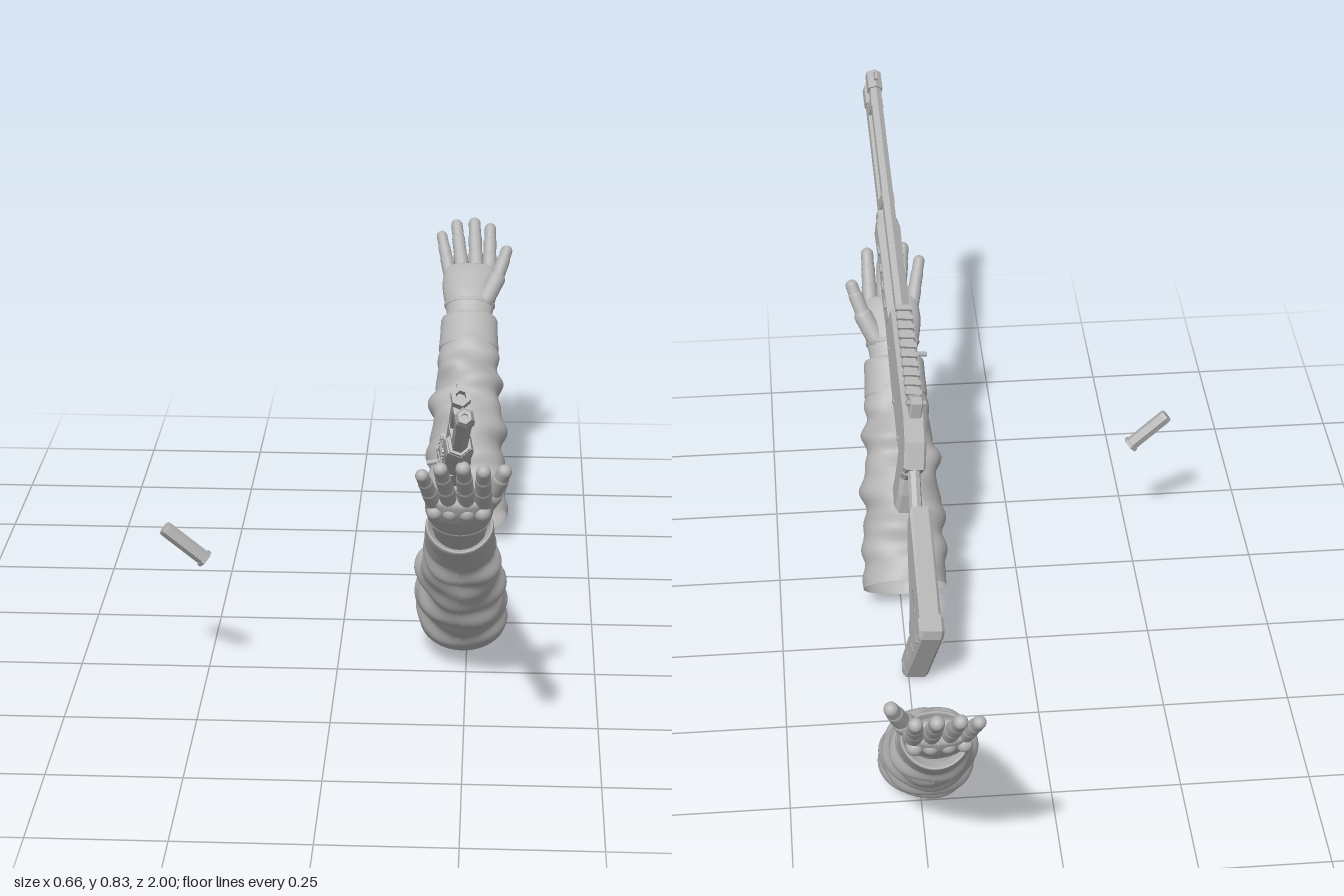
import * as THREE from 'three';

const grey = new THREE.MeshStandardMaterial({ color: 0xb3b3b3, side: THREE.DoubleSide });
grey.name = 'plain grey';

function add(group, name, geometry, x = 0, y = 0, z = 0) {
  const mesh = new THREE.Mesh(geometry, grey);
  mesh.name = name;
  mesh.position.set(x, y, z);
  group.add(mesh);
  return mesh;
}

function flat(geometry) {
  const g = geometry.index ? geometry.toNonIndexed() : geometry;
  g.computeVertexNormals();
  return g;
}

// Faceted turned part along z; profile is [radius, z] pairs from back to front
function turned(profile, sides = 6) {
  const points = profile.map(([r, z]) => new THREE.Vector2(r, z));
  return flat(new THREE.LatheGeometry(points, sides).rotateX(Math.PI / 2));
}

// Side outline in [z, y], extruded across the width
function plate(outline, width, bevel = 0.004, hole = null) {
  const toPoints = list => list.map(([z, y]) => new THREE.Vector2(z, y));
  const shape = new THREE.Shape(toPoints(outline));
  if (hole) shape.holes.push(new THREE.Path(toPoints(hole)));
  const depth = width - 2 * bevel;
  return new THREE.ExtrudeGeometry(shape, {
    depth, bevelEnabled: bevel > 0, bevelSize: bevel, bevelOffset: -bevel,
    bevelThickness: bevel, bevelSegments: 1,
  }).translate(0, 0, -depth / 2).rotateY(-Math.PI / 2);
}

// Smooth skin through sections [z, centreX, centreY, radiusX, radiusY]
function loft(sections, rows, fold = () => 0, sides = 40) {
  const centre = new THREE.CatmullRomCurve3(sections.map(s => new THREE.Vector3(s[1], s[2], s[0])));
  const radii = new THREE.CatmullRomCurve3(sections.map(s => new THREE.Vector3(s[3], s[4], 0)));
  const g = new THREE.CylinderGeometry(1, 1, 1, sides, rows, true).rotateX(Math.PI / 2);
  const p = g.attributes.position;
  for (let i = 0; i < p.count; i++) {
    const t = THREE.MathUtils.clamp(p.getZ(i) + 0.5, 0, 1);
    const c = centre.getPoint(t), r = radii.getPoint(t);
    const angle = Math.atan2(p.getY(i), p.getX(i));
    const f = fold(angle, t);
    p.setXYZ(i, c.x + Math.cos(angle) * (Math.max(r.x, 0) + f), c.y + Math.sin(angle) * (Math.max(r.y, 0) + f), c.z);
  }
  g.computeVertexNormals();
  return g;
}

// Rounded finger bone between two points
function bone(group, name, a, b, r) {
  const from = new THREE.Vector3(...a), to = new THREE.Vector3(...b);
  const dir = to.clone().sub(from);
  const mesh = add(group, name, new THREE.CapsuleGeometry(r, dir.length(), 5, 14));
  mesh.position.copy(from).add(to).multiplyScalar(0.5);
  mesh.quaternion.setFromUnitVectors(new THREE.Vector3(0, 1, 0), dir.normalize());
}

// Arm along local z, palm towards local +y
function buildArm() {
  const arm = new THREE.Group();
  const folds = (a, t) => {
    const fade = Math.min(1, t * 8) * Math.min(1, (1 - t) * 6);
    return fade * (0.0045 * Math.sin(26 * t + 2 * Math.sin(a + 1))
      + 0.0035 * Math.sin(43 * t + 2 * a + Math.sin(3 * t))
      + 0.003 * Math.sin(17 * t - 3 * a));
  };
  add(arm, 'sleeve', loft([
    [0, 0.005, 0, 0.086, 0.07], [0.09, 0.002, 0.003, 0.085, 0.077], [0.18, 0, 0, 0.081, 0.076],
    [0.27, -0.001, 0, 0.076, 0.069], [0.35, 0, 0, 0.069, 0.061], [0.43, 0, 0, 0.062, 0.053],
  ], 70, folds, 48));
  add(arm, 'sleeveCuff', loft([
    [0.405, 0, 0, 0.06, 0.05], [0.41, 0, 0, 0.066, 0.056], [0.445, 0, 0, 0.064, 0.054],
    [0.48, 0, 0, 0.063, 0.053], [0.487, 0, 0, 0.06, 0.05], [0.47, 0, 0, 0.05, 0.038],
  ], 24, a => 0.0015 * Math.sin(3 * a)));
  add(arm, 'gloveHand', loft([
    [0.45, 0, 0, 0.046, 0.032], [0.5, 0, 0, 0.05, 0.033], [0.53, 0, 0, 0.055, 0.035],
    [0.555, 0, 0, 0.06, 0.035], [0.58, 0, 0, 0.062, 0.033], [0.605, 0, 0.001, 0.06, 0.029],
    [0.625, 0, 0.002, 0.054, 0.021], [0.634, 0, 0.002, 0, 0],
  ], 32));
  add(arm, 'gloveStrap', new THREE.TorusGeometry(1, 0.1, 8, 40).scale(0.052, 0.033, 0.06), 0, 0, 0.527);

  // Four fingers: base x, tip x, tip z, radius
  [[-0.044, -0.066, 0.703, 0.0135], [-0.016, -0.033, 0.733, 0.0145],
    [0.014, 0.007, 0.738, 0.015], [0.042, 0.043, 0.724, 0.0145]].forEach(([bx, tx, tz, r]) => {
    const at = k => [bx + (tx - bx) * k, -0.004 + 0.004 * Math.sin(k * 3) + 0.013 * k * k, 0.6 + (tz - 0.6) * k];
    bone(arm, 'fingerBase', at(0), at(0.42), r * 1.1);
    bone(arm, 'fingerMiddle', at(0.42), at(0.74), r);
    bone(arm, 'fingerTip', at(0.74), at(1), r * 0.9);
    const knuckle = add(arm, 'knuckle', new THREE.SphereGeometry(r * 1.1, 14, 10), ...at(0));
    knuckle.position.y -= 0.014;
  });
  bone(arm, 'thumbBase', [0.035, 0.012, 0.535], [0.058, 0.025, 0.58], 0.02);
  bone(arm, 'thumbMiddle', [0.058, 0.025, 0.58], [0.073, 0.038, 0.622], 0.0155);
  bone(arm, 'thumbTip', [0.073, 0.038, 0.622], [0.08, 0.045, 0.643], 0.0135);

  arm.quaternion.setFromRotationMatrix(new THREE.Matrix4().makeBasis(
    new THREE.Vector3(1, 0, 0), new THREE.Vector3(0, 0.737, -0.676), new THREE.Vector3(0, 0.676, 0.737)));
  arm.position.set(0.237, 0.072, 0.118);
  return arm;
}

// Shotgun along local z, muzzle at +z
function buildShotgun() {
  const gun = new THREE.Group();
  add(gun, 'barrel', turned([[0.0135, 0.1], [0.0135, 0.735], [0.0175, 0.735], [0.0175, 0.779],
    [0.009, 0.779], [0.009, 0.745], [0, 0.745]]), 0, 0.022, 0);
  add(gun, 'magazineTube', turned([[0.015, 0.1], [0.015, 0.72], [0.018, 0.72], [0.018, 0.765],
    [0.012, 0.777], [0.006, 0.777], [0.006, 0.765], [0, 0.765]]), 0, -0.013, 0);
  add(gun, 'frontSight', new THREE.BoxGeometry(0.006, 0.012, 0.02), 0, 0.04, 0.76);
  [0.45, 0.7].forEach(z => add(gun, 'barrelClamp', new THREE.BoxGeometry(0.026, 0.05, 0.025), 0, 0.004, z));
  add(gun, 'foreEnd', turned([[0, 0.16], [0.028, 0.16], [0.029, 0.24], [0.027, 0.3], [0.029, 0.39],
    [0.024, 0.415], [0, 0.415]]), 0, -0.01, 0);
  add(gun, 'foreEndCap', turned([[0, 0.41], [0.021, 0.41], [0.021, 0.435], [0, 0.435]]), 0, -0.012, 0);
  add(gun, 'receiver', plate([[0.17, 0.033], [0.17, -0.034], [0.02, -0.046], [-0.13, -0.047],
    [-0.19, -0.035], [-0.195, -0.012], [-0.15, 0.02], [-0.095, 0.034]], 0.046, 0.006));

  // Toothed top rail and rear sight
  add(gun, 'railBase', new THREE.BoxGeometry(0.026, 0.01, 0.225), 0, 0.036, 0.057);
  for (let i = 0; i < 10; i++) {
    add(gun, 'railTooth', new THREE.BoxGeometry(0.034, 0.008, 0.012), 0, 0.043, -0.045 + i * 0.0228);
  }
  add(gun, 'rearSight', plate([[-0.045, 0.032], [-0.055, 0.052], [-0.068, 0.064], [-0.086, 0.064],
    [-0.1, 0.032]], 0.026, 0.003));
  [-1, 1].forEach(side => {
    add(gun, 'sightKnob', new THREE.CylinderGeometry(0.006, 0.006, 0.008, 8).rotateZ(Math.PI / 2), side * 0.016, 0.052, -0.075);
    [[0.1, -0.02], [-0.02, -0.032], [-0.11, -0.03]].forEach(([z, y]) =>
      add(gun, 'receiverPin', new THREE.CylinderGeometry(0.005, 0.005, 0.004, 8).rotateZ(Math.PI / 2), side * 0.024, y, z));
    for (let i = 0; i < 4; i++) {
      add(gun, 'ventRib', new THREE.BoxGeometry(0.004, 0.008, 0.02), side * 0.0255, -0.006, 0.2 + i * 0.045);
    }
  });
  add(gun, 'ejectionPort', new THREE.BoxGeometry(0.003, 0.024, 0.085), -0.0235, 0.012, 0.06);
  add(gun, 'boltHandle', new THREE.CylinderGeometry(0.005, 0.005, 0.026, 8).rotateZ(Math.PI / 2), -0.034, 0.01, 0.07);

  add(gun, 'triggerGuard', plate([[0, -0.042], [-0.015, -0.075], [-0.04, -0.088], [-0.1, -0.088], [-0.135, -0.07], [-0.125, -0.042]],
    0.016, 0, [[-0.012, -0.045], [-0.024, -0.07], [-0.044, -0.081], [-0.098, -0.081], [-0.12, -0.07], [-0.115, -0.045]]));
  add(gun, 'trigger', plate([[-0.06, -0.042], [-0.064, -0.062], [-0.058, -0.076], [-0.063, -0.076],
    [-0.073, -0.06], [-0.073, -0.042]], 0.008, 0));
  add(gun, 'grip', plate([[-0.105, -0.04], [-0.122, -0.075], [-0.14, -0.1], [-0.155, -0.135], [-0.18, -0.163],
    [-0.222, -0.142], [-0.205, -0.1], [-0.185, -0.07], [-0.192, -0.04]], 0.036, 0.008));

  // Sliding stock on its tube
  const tube = add(gun, 'stockTube', turned([[0, -0.175], [0.013, -0.175], [0.013, 0.175], [0, 0.175]], 8), 0, -0.06, -0.342);
  tube.rotation.x = -Math.atan2(0.08, 0.335);
  add(gun, 'stockBody', plate([[-0.283, -0.006], [-0.3, -0.044], [-0.36, -0.07], [-0.46, -0.1], [-0.5, -0.128],
    [-0.53, -0.13], [-0.53, -0.024]], 0.044, 0.006,
  [[-0.44, -0.05], [-0.44, -0.07], [-0.5, -0.09], [-0.5, -0.05]]));
  add(gun, 'buttPlate', plate([[-0.519, -0.02], [-0.556, -0.022], [-0.566, -0.04], [-0.571, -0.195], [-0.562, -0.205],
    [-0.526, -0.196], [-0.514, -0.12]], 0.052, 0.007));
  [-0.06, -0.1, -0.14, -0.18].forEach(y => add(gun, 'buttRib', new THREE.BoxGeometry(0.054, 0.008, 0.02), 0, y, -0.553));

  const forward = new THREE.Vector3(0.036, 0.454, 0.891).normalize();
  const side = new THREE.Vector3(-0.2, 0.891, -0.454).cross(forward).normalize();
  const up = forward.clone().cross(side);
  gun.quaternion.setFromRotationMatrix(new THREE.Matrix4().makeBasis(side, up, forward));
  gun.position.set(0.219, 0.45, 0.3);
  return gun;
}

export function createModel() {
  const model = new THREE.Group();
  model.name = 'shotgunWithArms';

  const gun = buildShotgun();
  gun.name = 'shotgun';
  const leftArm = buildArm();
  leftArm.name = 'leftArm';

  // The other arm mirrors the first front to back
  const rightArm = new THREE.Group();
  rightArm.name = 'rightArm';
  rightArm.add(buildArm());
  rightArm.scale.z = -1;
  rightArm.position.z = -0.329;

  // Loose cartridge with a rimmed base
  const shell = add(model, 'cartridge', turned([[0, -0.051], [0.0135, -0.051], [0.0145, -0.045], [0.0145, 0.044],
    [0.0175, 0.044], [0.0175, 0.051], [0, 0.051]]), -0.286, 0.296, 0.321);
  shell.quaternion.setFromUnitVectors(new THREE.Vector3(0, 0, 1), new THREE.Vector3(0.078, -0.066, -0.006).normalize());

  model.add(gun, leftArm, rightArm);
  return model;
}
